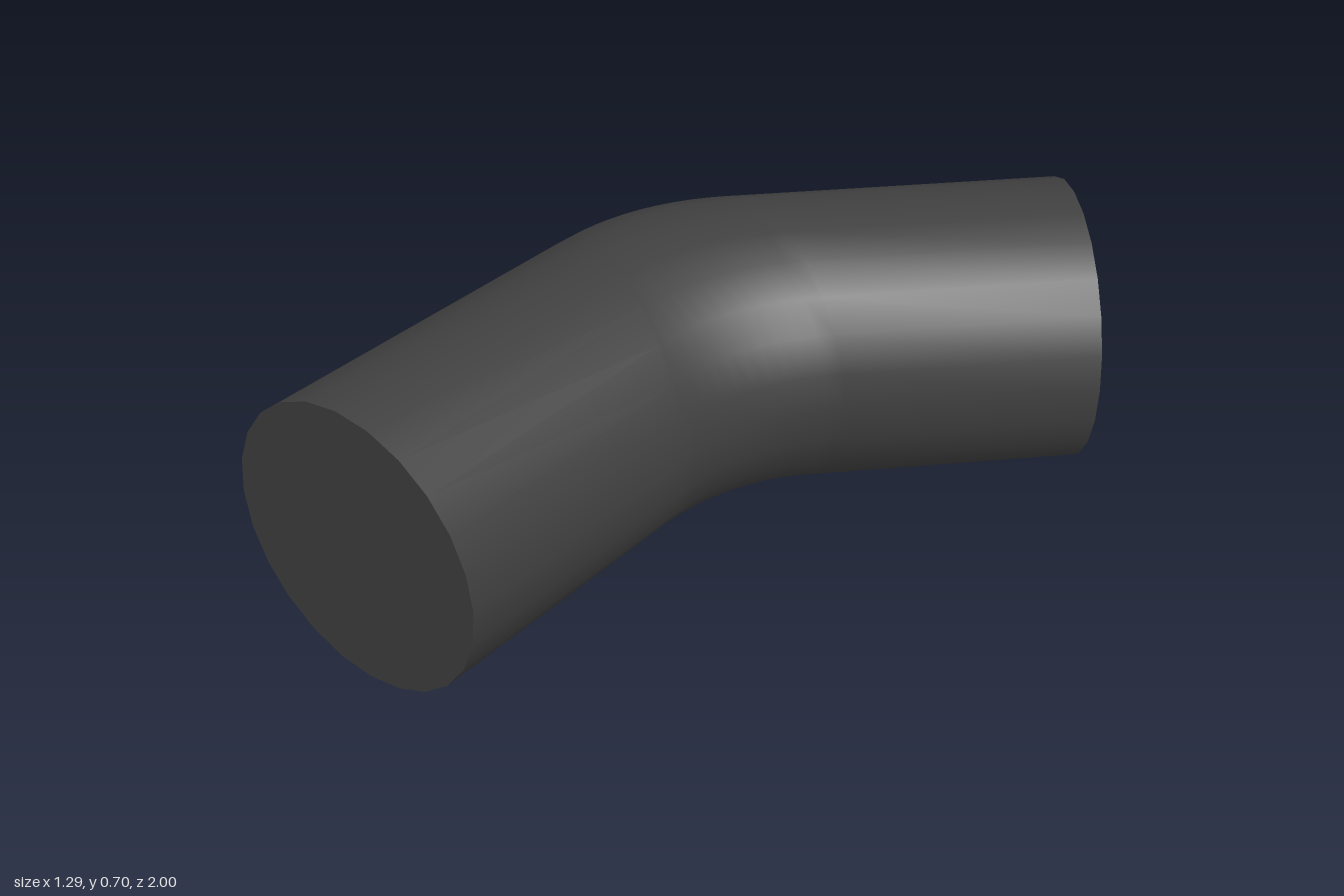
import * as THREE from 'three';

const RADIUS = 0.35, SIDES = 24, BEND_STEPS = 10;
const S = Math.SQRT1_2, MITRE = Math.tan(Math.PI / 8);

// Cross-sections: centre (x, z) and sideways direction (x, z) of each ring
function pipeRings() {
  const corner = new THREE.Vector2(-0.3, -0.055), t = 0.23;
  const bendRadius = t / MITRE;
  const rings = [{ c: [corner.x, 1], d: [1, 0] }];
  // Rounded bend: every ring is parallel to the mitre plane
  for (let i = 0; i <= BEND_STEPS; i++) {
    const a = (i / BEND_STEPS) * Math.PI / 4;
    rings.push({
      c: [corner.x + bendRadius * (1 - Math.cos(a)), corner.y + t - bendRadius * Math.sin(a)],
      d: [1, MITRE],
    });
  }
  rings.push({ c: [0.3975, -0.7525], d: [S, S] });
  return rings;
}

function pipeGeometry() {
  const positions = [], index = [];
  const rings = pipeRings();
  rings.forEach(({ c, d }, i) => {
    for (let j = 0; j < SIDES; j++) {
      const a = (j / SIDES) * Math.PI * 2, u = RADIUS * Math.cos(a);
      positions.push(c[0] + u * d[0], RADIUS + RADIUS * Math.sin(a), c[1] + u * d[1]);
      if (i === rings.length - 1) continue;
      const k = (j + 1) % SIDES, p = i * SIDES, q = p + SIDES;
      index.push(p + j, q + j, p + k, q + j, q + k, p + k);
    }
  });
  const geometry = new THREE.BufferGeometry();
  geometry.setAttribute('position', new THREE.Float32BufferAttribute(positions, 3));
  geometry.setIndex(index);
  geometry.computeVertexNormals();
  return geometry;
}

export function createModel() {
  const group = new THREE.Group();
  group.name = 'pipeElbow';
  const material = new THREE.MeshStandardMaterial({ color: 0x404040 });

  const add = (name, geometry) => {
    const mesh = new THREE.Mesh(geometry, material);
    mesh.name = name;
    group.add(mesh);
    return mesh;
  };

  // Bent tube
  add('bentPipe', pipeGeometry());

  // Flat end caps
  const disc = new THREE.CircleGeometry(RADIUS, SIDES);
  add('frontCap', disc).position.set(-0.3, RADIUS, 1);
  const backCap = add('backCap', disc);
  backCap.position.set(0.3975, RADIUS, -0.7525);
  backCap.rotation.y = Math.PI * 0.75;

  return group;
}
